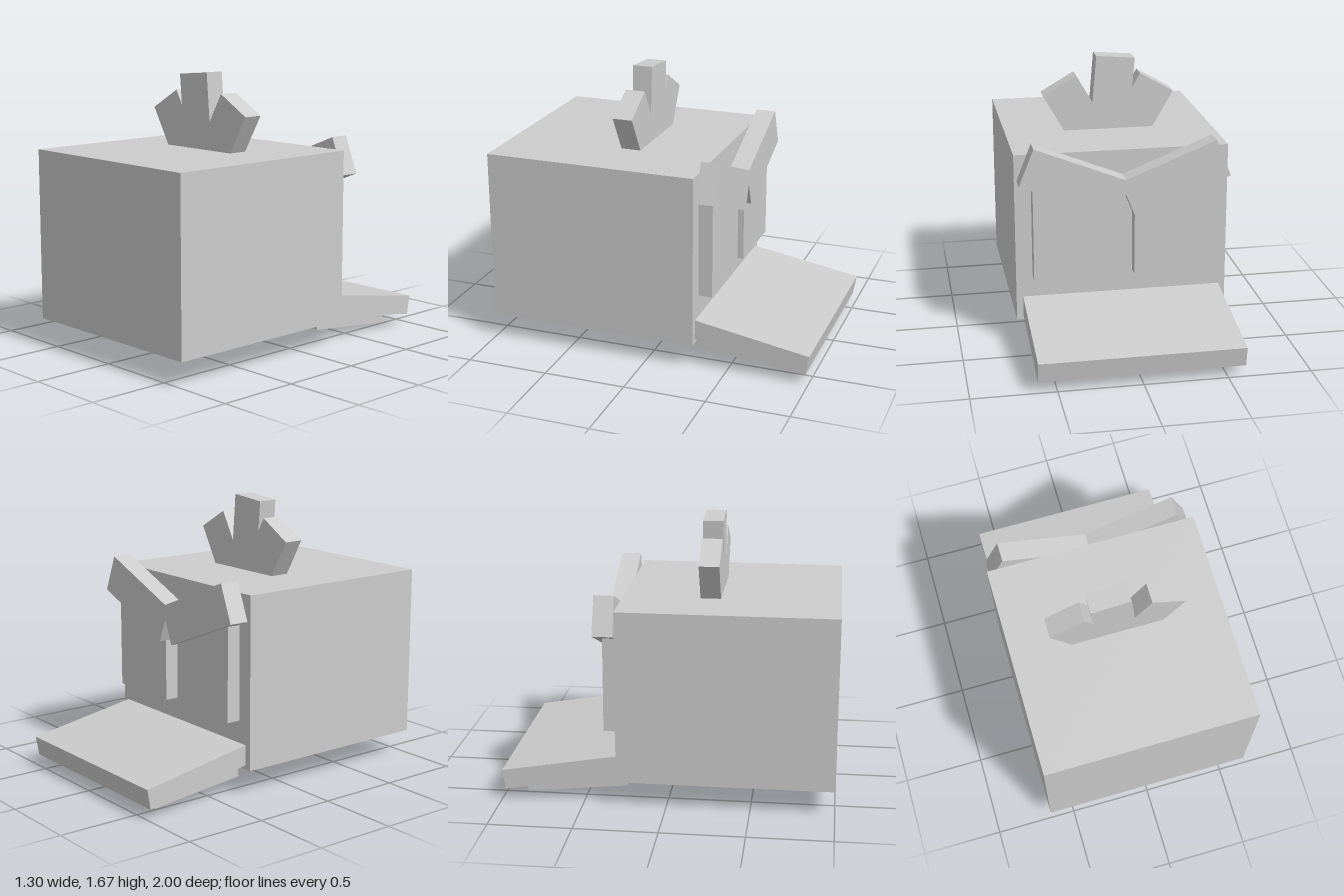
import * as THREE from 'three';

export function createModel() {
  const model = new THREE.Group();
  const grey = new THREE.MeshStandardMaterial({ color: 0xcccccc });
  grey.name = 'plainGrey';
  const deg = THREE.MathUtils.degToRad;

  function box(name, size, position, rotX = 0, rotZ = 0) {
    const mesh = new THREE.Mesh(new THREE.BoxGeometry(...size), grey);
    mesh.name = name;
    mesh.position.set(...position);
    mesh.rotation.set(deg(rotX), 0, deg(rotZ));
    model.add(mesh);
    return mesh;
  }

  // Blocky head
  box('head', [1.3, 1.05, 1.3], [0, 0.68, 0.35]);

  // Tuft on top: each strand is placed by the middle of its tip and its lean
  function tuft(name, tipX, tipY, lean) {
    const length = 0.5, a = deg(lean);
    box(name, [0.242, length, 0.122],
      [tipX + Math.sin(a) * length / 2, tipY - Math.cos(a) * length / 2, 0.226], 0, lean);
  }
  tuft('middleTuft', -0.045, 1.66, 4.8);
  tuft('leftTuft', 0.305, 1.49, -30);
  tuft('rightTuft', -0.305, 1.49, 30);

  // Eye plates and slanted brows on the face
  for (const [side, s] of [['left', 1], ['right', -1]]) {
    box(side + 'Eye', [0.488, 0.575, 0.12], [s * 0.306, 0.728, -0.326]);
    box(side + 'Brow', [0.621, 0.242, 0.122], [s * 0.3025, 1.0475, -0.372], 0, s * 21.8);
  }

  // Projecting jaw plates, sloping down away from the face
  box('upperJawPlate', [1.22, 0.122, 0.8], [0, 0.192, -0.596], -9.7);
  box('lowerJawPlate', [0.976, 0.122, 0.618], [0, 0.098, -0.569], -6);

  return model;
}
